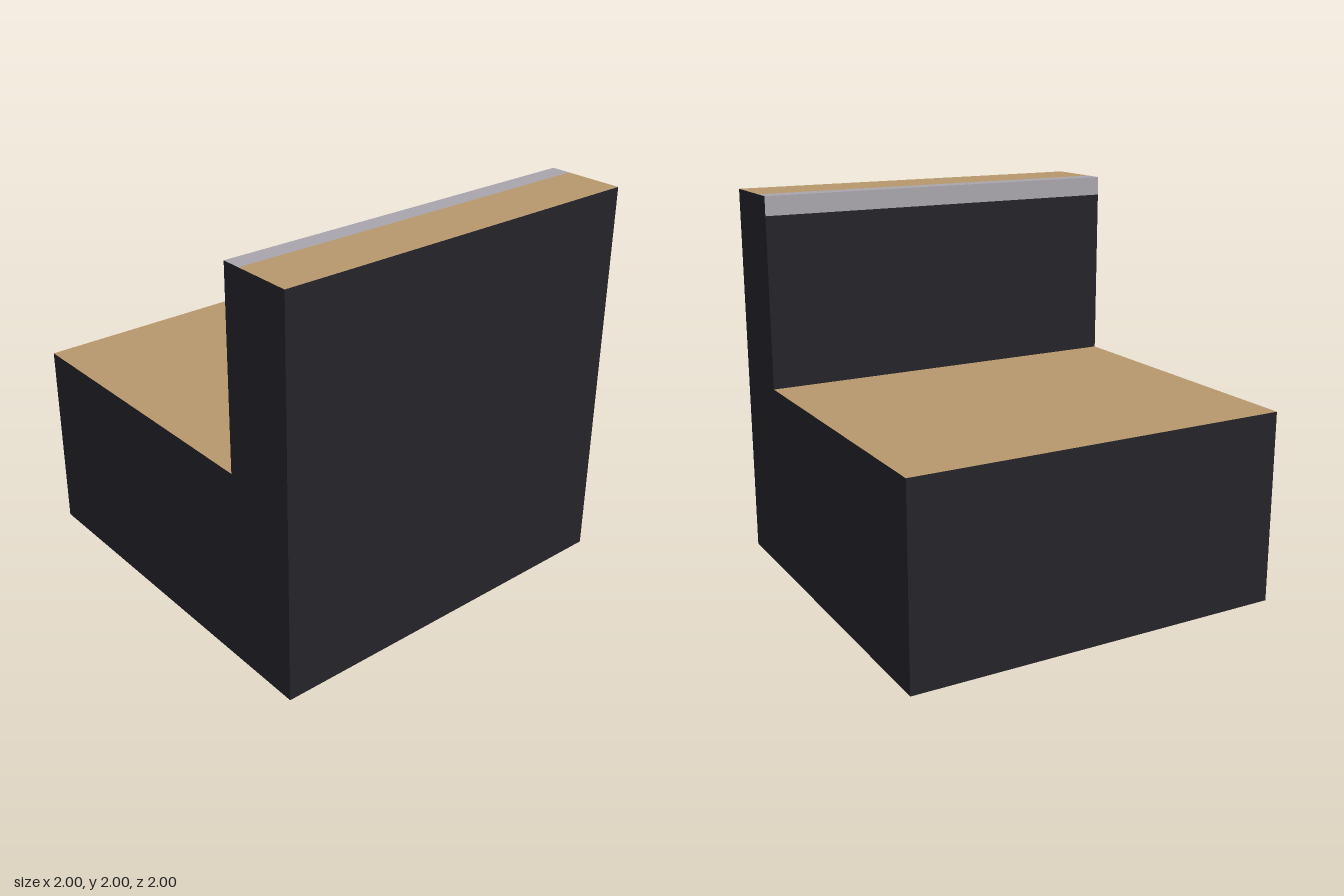
import * as THREE from 'three';

const HALF = 1;        // half width and half depth
const TREAD = 1;       // height of the lower tread
const TOP = 2;         // height of the upper tread
const RISER = 0.6;     // z of the upper riser
const STRIP = 0.1;     // size of the nosing strip

const material = (color) => new THREE.MeshStandardMaterial({ color, side: THREE.DoubleSide });

export function createModel() {
  const group = new THREE.Group();
  const dark = material(0x242329);
  const tan = material(0xb8986d);
  const grey = material(0xa8a5ac);

  const add = (name, geometry, mat) => {
    const mesh = new THREE.Mesh(geometry, mat);
    mesh.name = name;
    group.add(mesh);
    return mesh;
  };

  // Full-width upright panel at depth z, facing +z (dir 1) or -z (dir -1)
  const upright = (name, z, y0, y1, dir, mat) => {
    const g = new THREE.PlaneGeometry(2 * HALF, y1 - y0);
    if (dir < 0) g.rotateY(Math.PI);
    add(name, g.translate(0, (y0 + y1) / 2, z), mat);
  };

  // Full-width level panel at height y, facing up
  const level = (name, y, z0, z1, mat) => {
    const g = new THREE.PlaneGeometry(2 * HALF, z1 - z0).rotateX(-Math.PI / 2);
    add(name, g.translate(0, y, (z0 + z1) / 2), mat);
  };

  // Hollow stepped shell, open underneath
  upright('frontWall', HALF, 0, TOP, 1, dark);
  upright('backWall', -HALF, 0, TREAD, -1, dark);
  upright('upperRiser', RISER, TREAD, TOP - STRIP, -1, dark);
  level('lowerTread', TREAD, -HALF, RISER, tan);
  level('upperTread', TOP, RISER + STRIP, HALF, tan);

  // Nosing strip wrapped over the edge of the upper tread
  upright('nosingFace', RISER, TOP - STRIP, TOP, -1, grey);
  level('nosingTop', TOP, RISER, RISER + STRIP, grey);

  // L-shaped side walls; shape x runs along z
  for (const [name, side] of [['leftWall', 1], ['rightWall', -1]]) {
    const outline = [
      [-HALF, 0], [HALF, 0], [HALF, TOP], [RISER, TOP], [RISER, TREAD], [-HALF, TREAD],
    ].map(([z, y]) => new THREE.Vector2(-side * z, y));
    const g = new THREE.ShapeGeometry(new THREE.Shape(outline));
    add(name, g.rotateY(side * Math.PI / 2).translate(side * HALF, 0, 0), dark);
  }

  return group;
}
